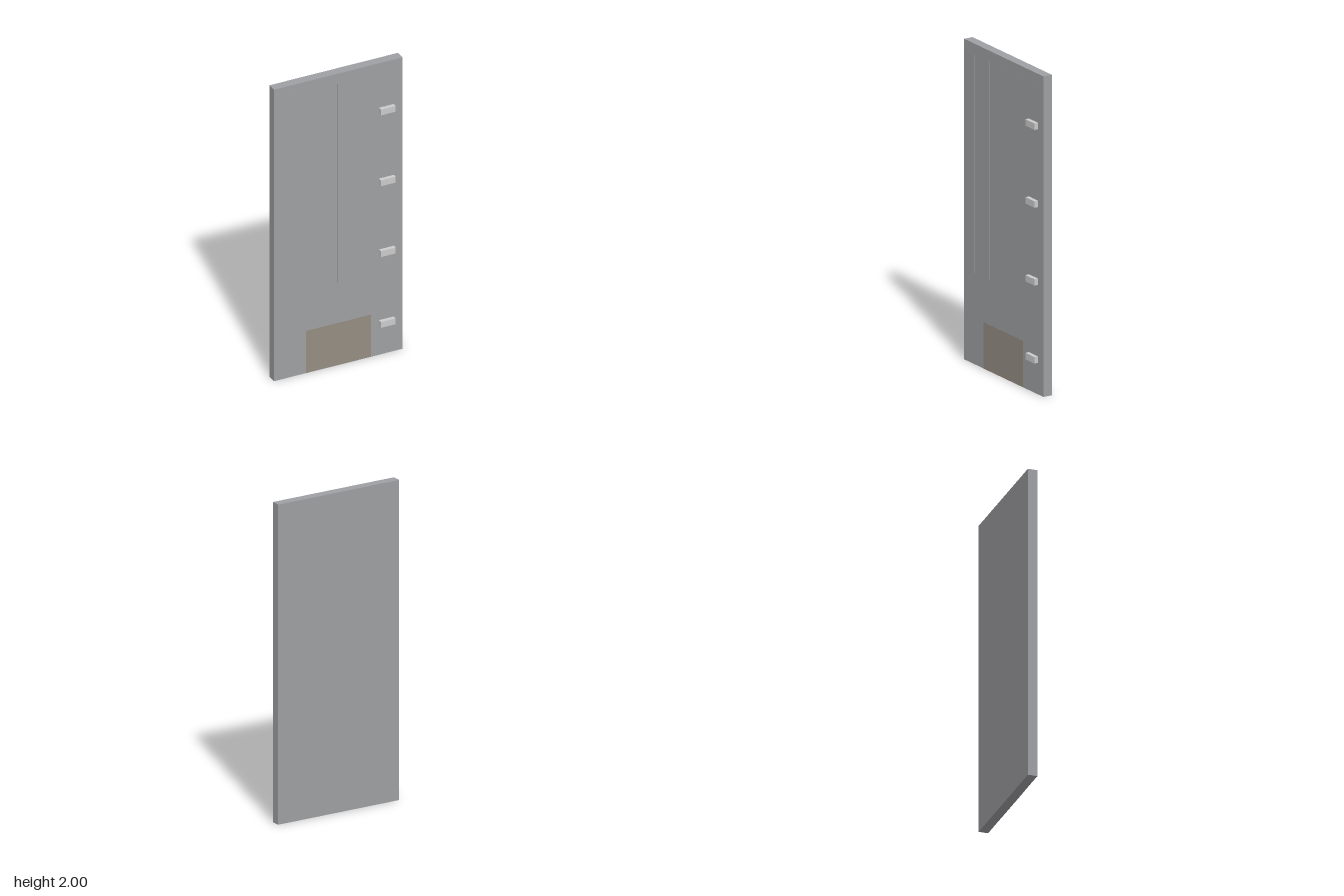
import * as THREE from 'three';

const material = (color) => new THREE.MeshStandardMaterial({ color });

// Box given by its minimum and maximum corners
function box(name, [x0, y0, z0], [x1, y1, z1], mat) {
  const mesh = new THREE.Mesh(new THREE.BoxGeometry(x1 - x0, y1 - y0, z1 - z0), mat);
  mesh.position.set((x0 + x1) / 2, (y0 + y1) / 2, (z0 + z1) / 2);
  mesh.name = name;
  return mesh;
}

export function createModel() {
  const group = new THREE.Group();
  group.name = 'doorPanel';
  const panelGrey = material(0x9fa0a3);
  const lightGrey = material(0xcccccc);
  const brown = material(0x958e83);
  const face = 0.017; // front face of the slab

  // Main slab
  group.add(box('slab', [-0.426, 0, -0.0425], [0.426, 2, face], panelGrey));

  // Thin raised vertical ribs
  for (let i = -2; i <= 2; i++) {
    const x = -0.002 + i * 0.1565;
    group.add(box('verticalRib', [x - 0.005, 0.57, face - 0.002], [x + 0.005, 1.93, face + 0.002], panelGrey));
  }

  // Kick plate, nearly flush at the foot of the front face
  group.add(box('kickPlate', [-0.215, 0, face - 0.004], [0.215, 0.29, face + 0.0006], brown));

  // Four blocks along one edge
  for (let i = 0; i < 4; i++) {
    const y = 0.217 + i * 0.486;
    group.add(box('edgeBlock', [0.27, y - 0.02, face - 0.002], [0.368, y + 0.02, 0.0425], lightGrey));
  }
  return group;
}
